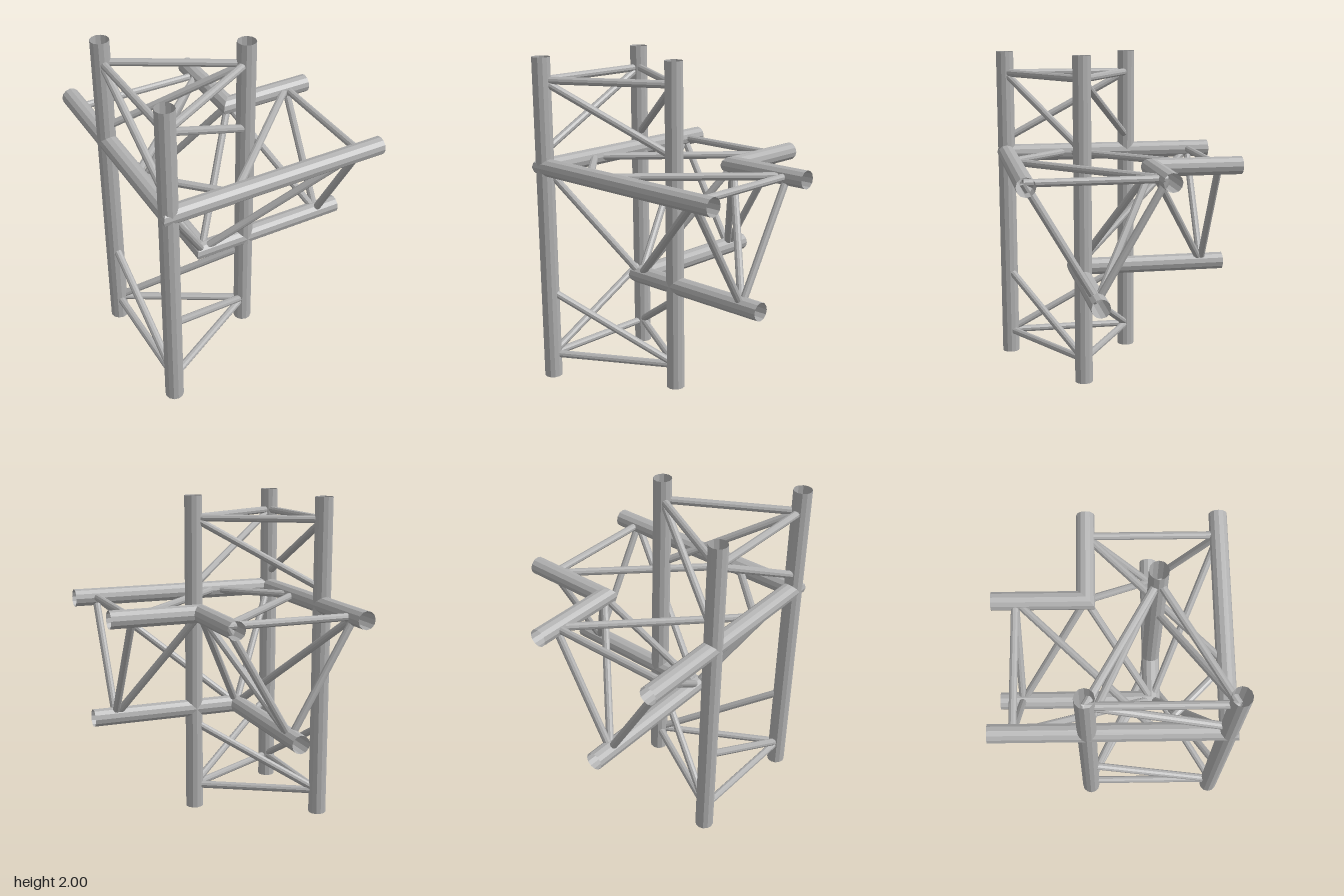
import * as THREE from 'three';

const R = 0.055;   // main chord radius
const r = 0.023;   // brace radius
const HI = 1.345;  // height of the upper chords
const LO = 0.66;   // height of the lower chord
const END = 0.7;   // open ends of the arms
const FRAME = 0.56; // position of the end frames

export function createModel() {
  const model = new THREE.Group();
  const steel = new THREE.MeshStandardMaterial({ color: 0xb0b0b0, side: THREE.DoubleSide, flatShading: true });
  steel.name = 'steel grey';

  // Open tube between two points; miter(vertex) may reshape it in world space
  function tube(name, a, b, radius, sides, miter) {
    const from = new THREE.Vector3(...a), to = new THREE.Vector3(...b);
    const dir = to.clone().sub(from);
    const g = new THREE.CylinderGeometry(radius, radius, dir.length(), sides, 1, true);
    g.applyQuaternion(new THREE.Quaternion().setFromUnitVectors(new THREE.Vector3(0, 1, 0), dir.normalize()));
    g.translate(...from.add(to).multiplyScalar(0.5).toArray());
    if (miter) {
      const p = g.attributes.position;
      const v = new THREE.Vector3();
      for (let i = 0; i < p.count; i++) {
        miter(v.fromBufferAttribute(p, i));
        p.setXYZ(i, v.x, v.y, v.z);
      }
      g.computeVertexNormals();
    }
    const mesh = new THREE.Mesh(g, steel);
    mesh.name = name;
    model.add(mesh);
  }
  const brace = (name, a, b) => tube(name, a, b, r, 10);

  // Upright columns on a triangular plan
  const columns = [[-0.65, 0.645], [0.04, 0.25], [-0.65, -0.145]];
  columns.forEach(([x, z]) => tube('column', [x, 0, z], [x, 2, z], R, 12));

  // Column rings and the diagonals running round the tower
  columns.forEach(([x, z], i) => {
    const [nx, nz] = columns[(i + 1) % 3];
    for (const y of [0.143, 1.863]) brace('towerRing', [x, y, z], [nx, y, nz]);
    for (const [top, bottom] of [[1.863, 1.44], [0.565, 0.143]])
      brace('towerDiagonal', [x, top, z], [nx, bottom, nz]);
  });

  // L-shaped chords, mitred at the corner, running to +x and to -z
  const corners = { outer: [-0.648, HI, 0.648], inner: [0.148, HI, -0.148], lower: [-0.25, LO, 0.25] };
  for (const [key, [x, y, z]] of Object.entries(corners)) {
    tube(key + 'ChordSide', [x, y, z], [END, y, z], R, 12, v => {
      if (v.x < END - 0.1) v.x = x - (v.z - z);
    });
    tube(key + 'ChordBack', [x, y, z], [x, y, -END], R, 12, v => {
      if (v.z > -END + 0.1) v.z = z - (v.x - x);
    });
  }

  // Arm bracing, made for the side arm and mirrored onto the back arm
  const { outer, inner, lower } = corners;
  const at = (x, c) => [x, c[1], c[2]];
  const armBraces = [
    ['endFrame', at(FRAME, outer), at(FRAME, inner)],
    ['endFrame', at(FRAME, outer), at(FRAME, lower)],
    ['endFrame', at(FRAME, inner), at(FRAME, lower)],
    ['armDiagonal', lower, at(FRAME, outer)],
    ['armDiagonal', inner, at(FRAME, lower)],
    ['armTopDiagonal', at(FRAME, inner), at(-0.25, outer)],
  ];
  const mirror = ([x, y, z]) => [-z, y, -x];
  for (const [name, a, b] of armBraces) {
    brace(name, a, b);
    brace(name, mirror(a), mirror(b));
  }

  // Corner bracing
  brace('cornerBrace', outer, lower);
  brace('cornerBrace', lower, inner);
  brace('cornerTopBrace', at(-0.25, outer), mirror(at(-0.25, outer)));

  return model;
}
